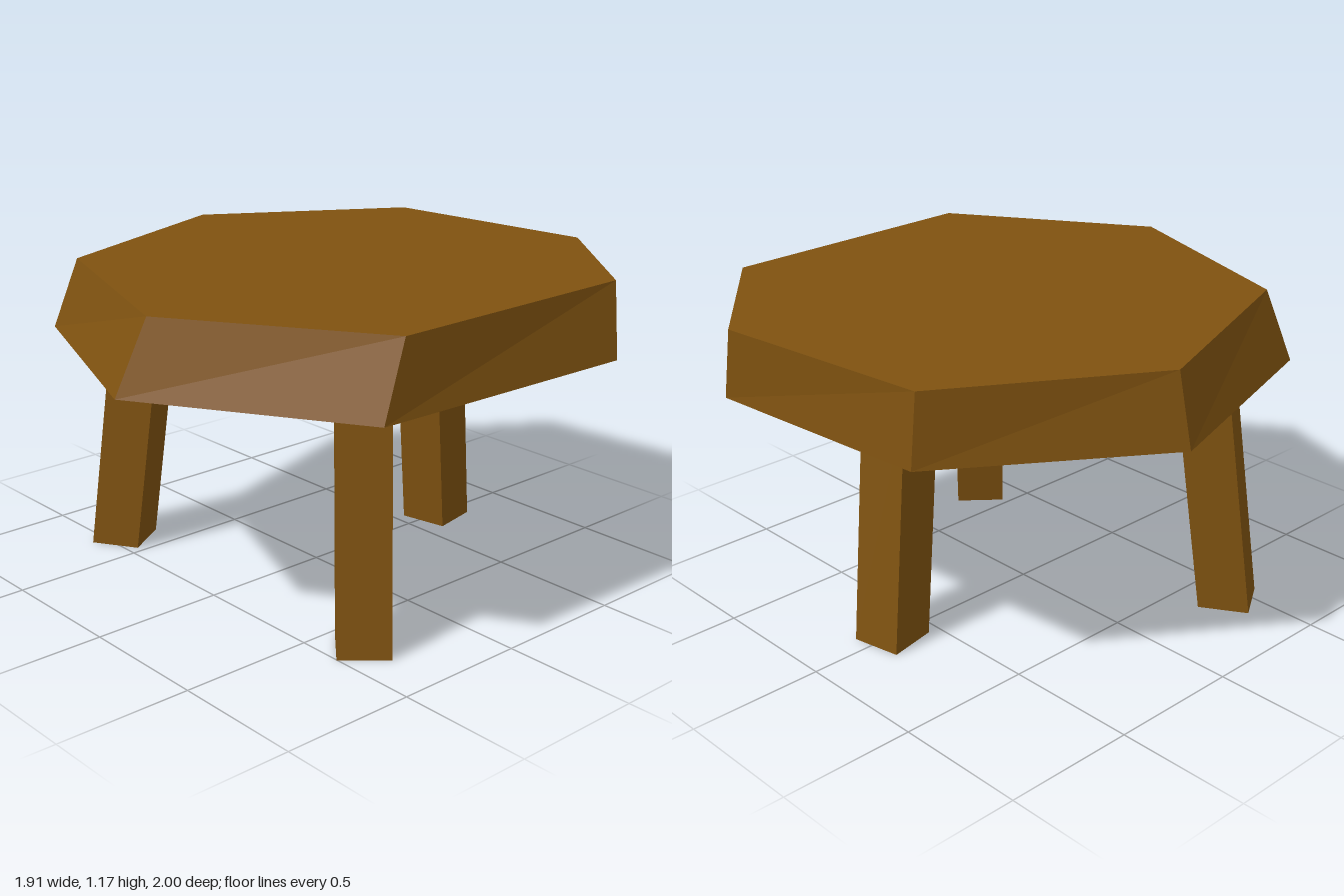
import * as THREE from 'three';

// Closed prism between a bottom and a top ring of [x, z] points,
// both listed front -> right -> back -> left.
function prism(bottom, top, y0, y1) {
  const pos = [];
  const n = bottom.length;
  const b = (i) => [bottom[i % n][0], y0, bottom[i % n][1]];
  const t = (i) => [top[i % n][0], y1, top[i % n][1]];
  const tri = (...corners) => corners.forEach((c) => pos.push(...c));
  for (let i = 0; i < n; i++) {
    tri(b(i), b(i + 1), t(i + 1));
    tri(b(i), t(i + 1), t(i));
  }
  for (let i = 1; i < n - 1; i++) {
    tri(t(0), t(i), t(i + 1));
    tri(b(0), b(i + 1), b(i));
  }
  const geometry = new THREE.BufferGeometry();
  geometry.setAttribute('position', new THREE.Float32BufferAttribute(pos, 3));
  geometry.computeVertexNormals();
  return geometry;
}

// Square ring around a centre; [dx, dz] points to its first corner.
function square([x, z], [dx, dz]) {
  return [[x + dx, z + dz], [x + dz, z - dx], [x - dx, z - dz], [x - dz, z + dx]];
}

export function createModel() {
  const group = new THREE.Group();
  group.name = 'stool';
  const wood = new THREE.MeshStandardMaterial({ color: 0x7f5210 });
  wood.name = 'brown wood';

  const add = (name, geometry) => {
    const mesh = new THREE.Mesh(geometry, wood);
    mesh.name = name;
    group.add(mesh);
  };

  const seatBase = 0.905;
  const seatTop = 1.168;

  // Uneven seven-sided seat, slightly narrower and twisted at the top
  add('seat', prism(
    [[0.155, 1.0], [0.92, 0.54], [0.955, -0.54], [0.43, -1.0], [-0.46, -0.92], [-0.96, -0.18], [-0.69, 0.68]],
    [[0.19, 0.89], [0.895, 0.43], [0.89, -0.59], [0.38, -1.0], [-0.46, -0.895], [-0.9, -0.18], [-0.61, 0.62]],
    seatBase, seatTop));

  // Three splayed square legs: foot centre, first corner, shift from foot to seat
  const legs = [
    ['frontLeftLeg', [0.66, 0.372], [0.01, 0.132], [-0.09, -0.072]],
    ['frontRightLeg', [-0.66, 0.43], [-0.03, 0.13], [0.1, -0.065]],
    ['backLeg', [0, -0.655], [-0.073, 0.11], [0.042, 0.108]],
  ];
  for (const [name, foot, corner, [sx, sz]] of legs) {
    add(name, prism(
      square(foot, corner),
      square([foot[0] + sx, foot[1] + sz], corner),
      0, seatBase));
  }
  return group;
}
